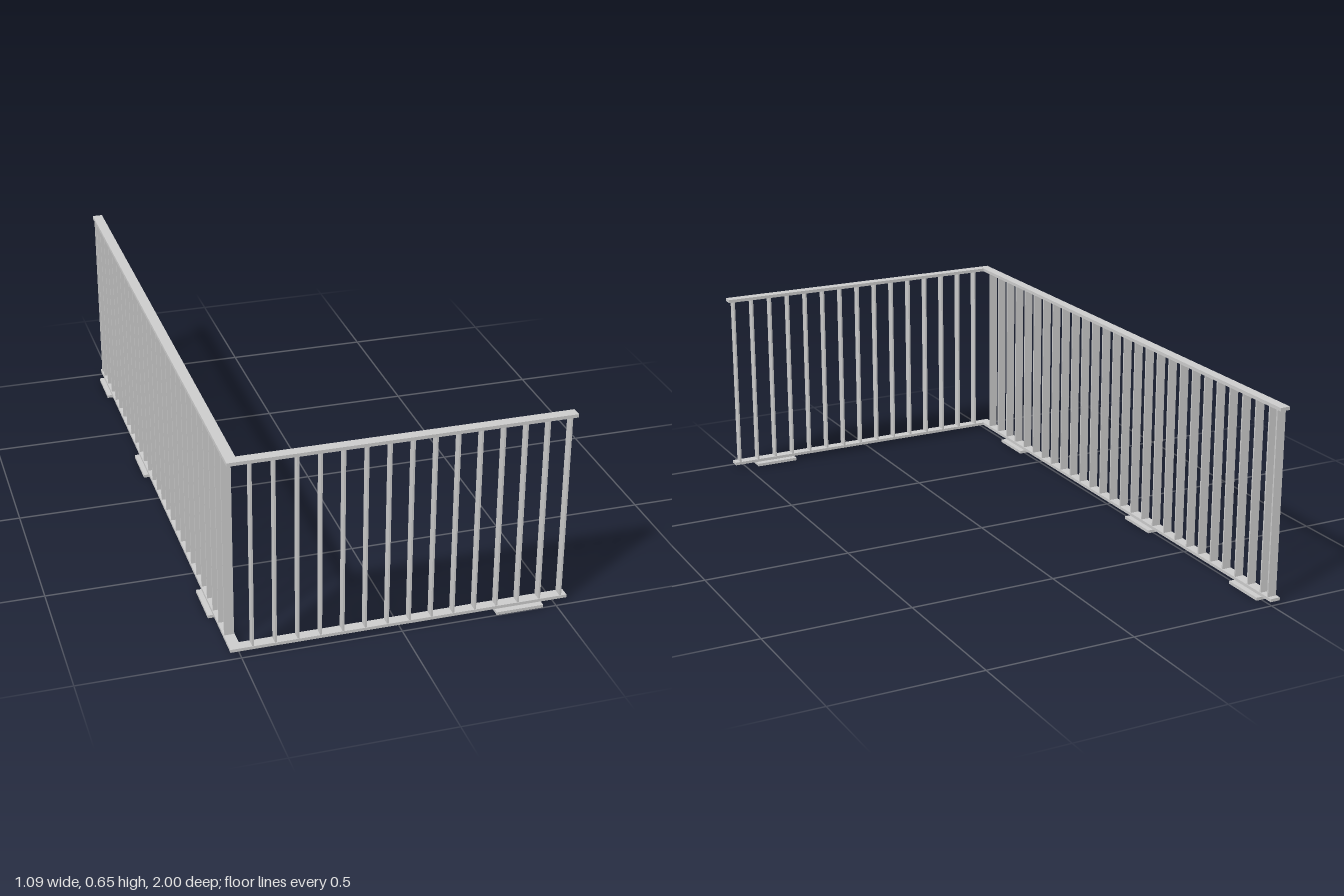
import * as THREE from 'three';

export function createModel() {
  const model = new THREE.Group();
  model.name = 'cornerRailing';
  const material = new THREE.MeshStandardMaterial({ color: 0xcccccc, flatShading: true });

  // Box given by its minimum and maximum on each axis
  function box(name, parent, [x0, x1], [y0, y1], [z0, z1]) {
    const mesh = new THREE.Mesh(new THREE.BoxGeometry(x1 - x0, y1 - y0, z1 - z0), material);
    mesh.position.set((x0 + x1) / 2, (y0 + y1) / 2, (z0 + z1) / 2);
    mesh.name = name;
    parent.add(mesh);
  }
  const around = (centre, size) => [centre - size / 2, centre + size / 2];

  const sideX = -0.513, frontZ = 0.967;
  const railWidth = 0.034, barDepth = 0.03, barThickness = 0.006;
  const bottomRail = [0.013, 0.023], topRail = [0.637, 0.648], barY = [0.023, 0.637];
  const footLength = 0.152, footWidth = 0.064;

  const side = new THREE.Group();
  side.name = 'sideRailing';
  const front = new THREE.Group();
  front.name = 'frontRailing';
  model.add(side, front);

  // Rails, meeting at the corner
  for (const [name, y] of [['bottomRail', bottomRail], ['topRail', topRail]]) {
    box(name, side, around(sideX, railWidth), y, [-1, frontZ + railWidth / 2]);
    box(name, front, [sideX + railWidth / 2, 0.54], y, around(frontZ, railWidth));
  }

  // Flat balusters, broad side across the rail
  for (let i = 0; i < 15; i++) {
    box('baluster', front, around(-0.46 + i * 0.07, barThickness), barY, around(frontZ, barDepth));
  }
  const sideBars = Array.from({ length: 27 }, (_, i) => 0.901 - i * 0.0708);
  for (const z of [...sideBars, -0.979]) {
    box('baluster', side, around(sideX, barDepth), barY, around(z, barThickness));
  }

  // Foot plates with a narrow spacer below the rail
  for (const z of [-0.87, -0.23, 0.69]) {
    box('footPlate', side, around(sideX, footWidth), [0, 0.01], around(z, footLength));
    box('footSpacer', side, around(sideX, 0.02), [0.01, 0.013], around(z, 0.06));
  }
  box('footPlate', front, around(0.381, footLength), [0, 0.01], around(frontZ, footWidth));
  box('footSpacer', front, around(0.381, 0.06), [0.01, 0.013], around(frontZ, 0.02));

  return model;
}
